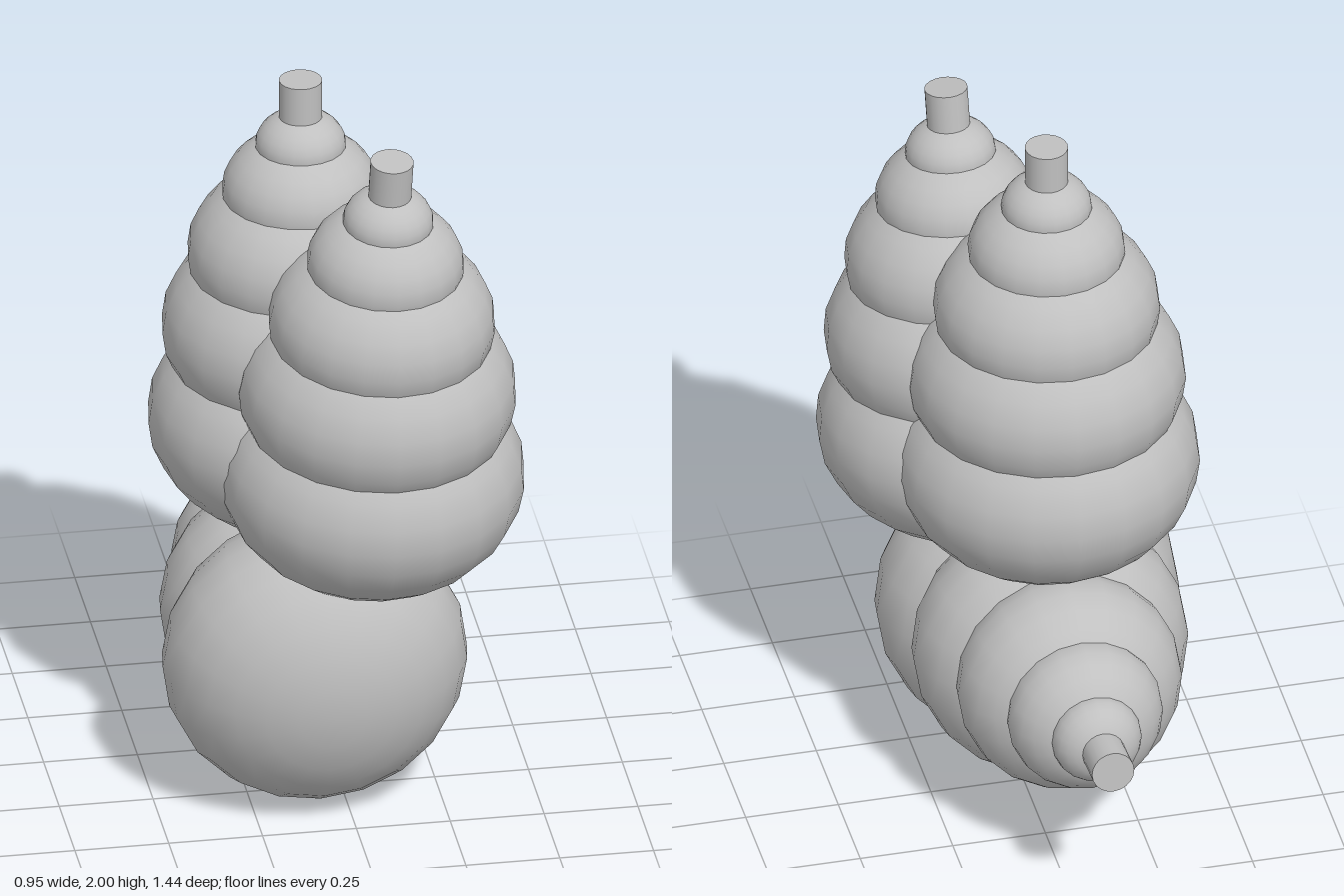
import * as THREE from 'three';

// Each bulb: [radius, distance of its centre along the axis]
const BULBS = [[0.405, 0], [0.368, 0.265], [0.3, 0.485], [0.208, 0.665], [0.12, 0.8]];
const SQUASH = 0.775;
const TIP = 0.99;

// One gourd: shrinking squashed bulbs along +y, finished by a short stem
function makeGourd(name, material, tip, direction) {
  const gourd = new THREE.Group();
  gourd.name = name;
  BULBS.forEach(([radius, offset], i) => {
    const geometry = new THREE.SphereGeometry(radius, 20, 14);
    geometry.scale(1, SQUASH, 1);
    const bulb = new THREE.Mesh(geometry, material);
    bulb.name = `bulb${i + 1}`;
    bulb.position.y = offset;
    gourd.add(bulb);
  });

  const stemLength = 0.15;
  const stem = new THREE.Mesh(new THREE.CylinderGeometry(0.057, 0.057, stemLength, 20), material);
  stem.name = 'stem';
  stem.position.y = TIP - stemLength / 2;
  gourd.add(stem);

  // Aim the axis, then place the gourd by the end of its stem
  const axis = new THREE.Vector3(...direction).normalize();
  gourd.quaternion.setFromUnitVectors(new THREE.Vector3(0, 1, 0), axis);
  gourd.position.set(...tip).addScaledVector(axis, -TIP);
  return gourd;
}

export function createModel() {
  const model = new THREE.Group();
  model.name = 'gourdStack';
  const grey = new THREE.MeshStandardMaterial({ color: 0xc0c0c0 });
  grey.name = 'plain grey';

  model.add(
    makeGourd('lyingGourd', grey, [-0.073, 0.508, -0.714], [0, 0.105, -0.995]),
    makeGourd('uprightGourd', grey, [-0.073, 2, 0.046], [0, 1, 0]),
    makeGourd('leaningGourd', grey, [0.105, 1.948, 0.44], [0.034, 0.992, 0.125]),
  );
  return model;
}
